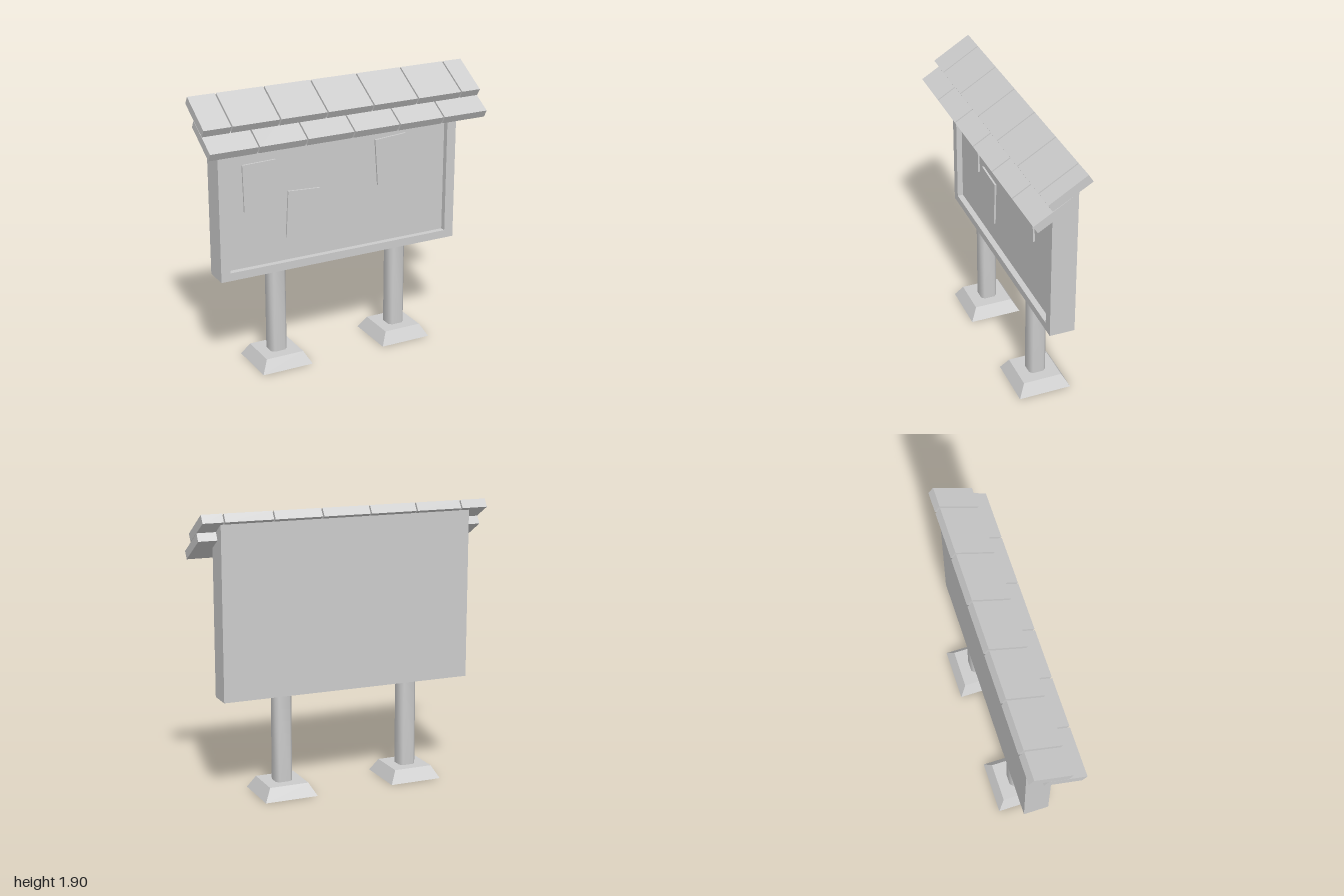
import * as THREE from 'three';
import { toCreasedNormals } from 'three/addons/utils/BufferGeometryUtils.js';

const material = new THREE.MeshStandardMaterial({ color: 0xcccccc });
const flat = new THREE.MeshStandardMaterial({ color: 0xcccccc, flatShading: true });

const shapeOf = (points) => new THREE.Shape(points.map(([a, b]) => new THREE.Vector2(a, b)));

// Side profile of [z, y] points, swept along x from x0 to x1
function prism(profile, x0, x1) {
  const geometry = new THREE.ExtrudeGeometry(shapeOf(profile), { depth: x1 - x0, bevelEnabled: false });
  return geometry.rotateY(-Math.PI / 2).translate(x1, 0, 0);
}

export function createModel() {
  const model = new THREE.Group();
  const add = (name, geometry, parent = model, mat = material) => {
    const mesh = new THREE.Mesh(geometry, mat);
    mesh.name = name;
    parent.add(mesh);
    return mesh;
  };

  // Posts: square with softened corners, on tapered feet
  const r = 0.058, c = 0.038;
  const section = shapeOf([[r, -c], [r, c], [c, r], [-c, r], [-r, c], [-r, -c], [-c, -r], [c, -r]]);
  const postGeometry = toCreasedNormals(
    new THREE.ExtrudeGeometry(section, { depth: 0.62, bevelEnabled: false }).rotateX(-Math.PI / 2), 1);
  const footGeometry = new THREE.CylinderGeometry(0.135 * Math.SQRT2, 0.183 * Math.SQRT2, 0.085, 4)
    .rotateY(Math.PI / 4);
  for (const [side, x] of [['right', -0.46], ['left', 0.45]]) {
    add(side + 'Post', postGeometry).position.set(x, 0.07, -0.038);
    add(side + 'Foot', footGeometry, model, flat).position.set(x, 0.0425, -0.038);
  }

  // Board with a sloping top, and a raised frame on its front
  const board = new THREE.Group();
  board.name = 'board';
  model.add(board);
  add('backPanel', prism([[-0.125, 0.68], [0.005, 0.68], [0.005, 1.75], [-0.125, 1.832]], -0.88, 0.873), board);
  const frame = shapeOf([[-0.88, 0.68], [0.873, 0.68], [0.873, 1.715], [-0.88, 1.715]]);
  frame.holes.push(shapeOf([[-0.815, 0.735], [-0.815, 1.66], [0.805, 1.66], [0.805, 0.735]]));
  add('frame', new THREE.ExtrudeGeometry(frame, { depth: 0.04, bevelEnabled: false }).translate(0, 0, 0.005), board);

  // Notices pinned at slight angles
  const notices = [[-0.58, 1.287, 0.025], [-0.272, 1.05, -0.055], [0.391, 1.317, 0.07]];
  for (const [x, y, tilt] of notices) {
    const notice = add('notice', new THREE.BoxGeometry(0.235, 0.32, 0.014), board);
    notice.position.set(x, y, 0.011);
    notice.rotation.z = tilt;
  }

  // Roof: two overlapping rows of shingles with staggered joints
  const rows = [
    ['upperShingle', [[0.1, 1.7], [0.13, 1.748], [-0.122, 1.9], [-0.155, 1.848]],
      [-1, -0.81, -0.478, -0.145, 0.19, 0.523, 0.856, 1]],
    ['lowerShingle', [[0.192, 1.573], [0.222, 1.623], [-0.028, 1.772], [-0.058, 1.722]],
      [-1, -0.67, -0.335, 0, 0.333, 0.667, 1]],
  ];
  const roof = new THREE.Group();
  roof.name = 'roof';
  model.add(roof);
  for (const [name, profile, joints] of rows) {
    for (let i = 0; i + 1 < joints.length; i++) {
      const x0 = joints[i] + (i ? 0.005 : 0);
      const x1 = joints[i + 1] - (i + 2 < joints.length ? 0.005 : 0);
      add(name, prism(profile, x0, x1), roof);
    }
  }
  return model;
}
